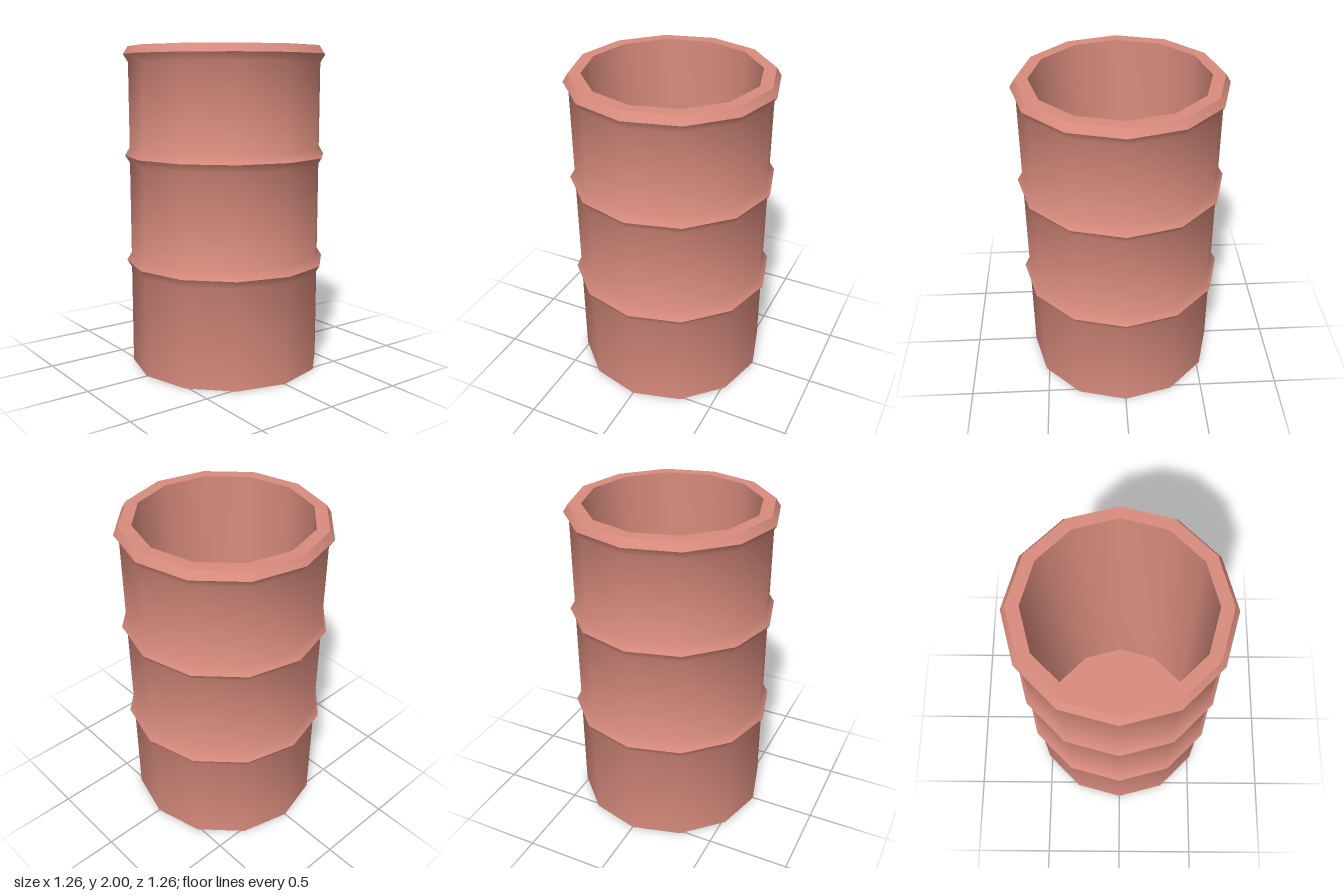
import * as THREE from 'three';
import { toCreasedNormals } from 'three/addons/utils/BufferGeometryUtils.js';

const SIDES = 12;
const RADIUS = 0.6;
const RIDGE_RADIUS = 0.63;
const INNER_RADIUS = 0.525;
const HEIGHT = 2;
const FLOOR = 0.08;

export function createModel() {
  const group = new THREE.Group();
  group.name = 'openBarrel';

  // Closed profile: underside, outer wall with ridges, lip, inner wall, floor
  const profile = [[0, 0], [RADIUS, 0]];
  for (const y of [0.667, 1.333, 1.952]) {
    profile.push([RADIUS, y - 0.048], [RIDGE_RADIUS, y], [RADIUS, y + 0.048]);
  }
  profile.push([INNER_RADIUS, HEIGHT], [INNER_RADIUS, FLOOR], [0, FLOOR]);

  // Twelve-sided shell, smooth around and sharp at ridges and rims
  const lathe = new THREE.LatheGeometry(profile.map(([r, y]) => new THREE.Vector2(r, y)), SIDES);
  const shell = new THREE.Mesh(
    toCreasedNormals(lathe, THREE.MathUtils.degToRad(50)),
    new THREE.MeshStandardMaterial({ color: 0xd98c7e })
  );
  shell.name = 'barrelShell';
  group.add(shell);

  return group;
}
